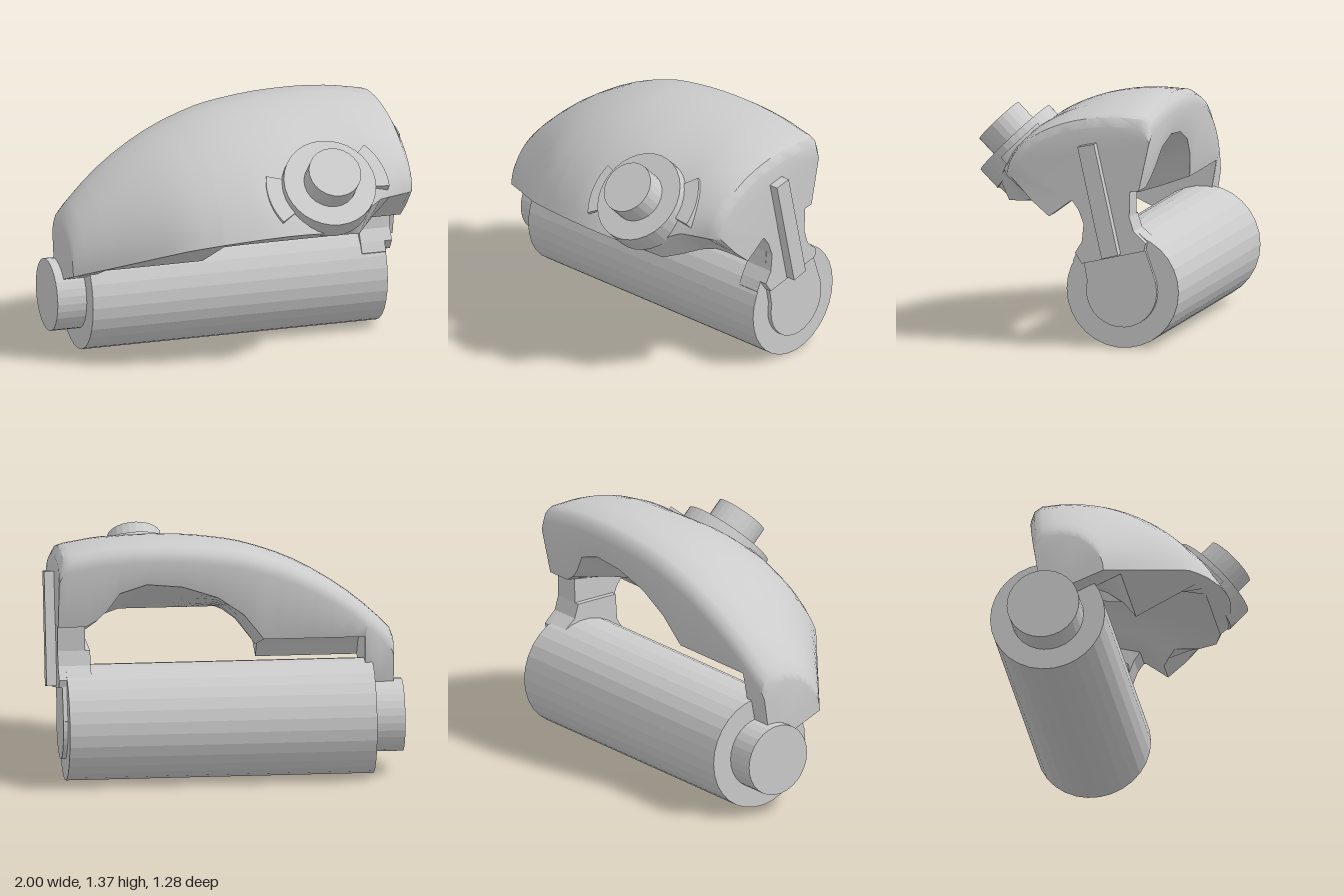
import * as THREE from 'three';
import { toCreasedNormals } from 'three/addons/utils/BufferGeometryUtils.js';

const AXIS = { y: 0.325, z: -0.315 }; // centre line of the roller
const { lerp, clamp } = THREE.MathUtils;

// piecewise linear lookup in [x, value] pairs
function table(pairs, x) {
  for (let i = 1; i < pairs.length; i++) {
    const [x0, a] = pairs[i - 1], [x1, b] = pairs[i];
    if (x <= x1) return lerp(a, b, Math.max(0, (x - x0) / (x1 - x0)));
  }
  return pairs[pairs.length - 1][1];
}

const CREST = [[-0.95, 0.77], [-0.935, 0.81], [-0.88, 0.87], [-0.79, 0.955], [-0.7, 1.03], [-0.6, 1.1], [-0.5, 1.16], [-0.4, 1.212], [-0.3, 1.255], [-0.2, 1.29], [-0.1, 1.32], [0, 1.34], [0.2, 1.365], [0.4, 1.373], [0.55, 1.37], [0.7, 1.357], [0.88, 1.325], [0.92, 1.31], [0.945, 1.26]];
const FRONT_Z = [[-0.95, 0.02], [-0.4, 0.42], [-0.3, 0.46], [-0.2, 0.495], [0, 0.545], [0.2, 0.57], [0.5, 0.52], [0.75, 0.41], [0.88, 0.365], [0.92, 0.35], [0.945, 0.32]];
const BULGE = [[-0.95, 0.9], [-0.4, 0.2], [-0.1, 0], [0.5, 0], [0.75, 0.6], [0.92, 1]]; // dome section: 0 circular arc, 1 quarter ellipse
const SEAT = [[-0.2, 1.6], [0, 1.5], [0.12, 1.44], [0.7, 1.43], [0.945, 1.42]]; // limit of y + z under the button
const ARCH = [[-0.2, 0.82], [-0.1, 0.95], [0.05, 1.06], [0.25, 1.13], [0.45, 1.15], [0.6, 1.1], [0.75, 1]];
const FAN = [[-0.42, 0.9], [-0.28, 0.88], [-0.15, 0.86], [-0.02, 0.825], [0.1, 0.735], [0.2, 0.82]];
const backZ = (y) => -0.504 + (1.28 - y) * 0.22;
const planeY = (z) => 0.52 + 0.56 * z;

// underside points [z, y], from back to front
function underside(x, kind) {
  const pts = [];
  for (let k = 0; k < 6; k++) {
    const t = k / 5;
    if (kind === 'arch') {
      const h = table(ARCH, x);
      const zl = Math.min(0.46, table(FRONT_Z, x) - 0.05);
      const sag = 0.12 * Math.max(0, 1 - (x + 0.2) / 0.18) * Math.sin(Math.PI * t);
      const f = clamp((x - 0.6) / 0.19, 0, 1);
      pts.push([lerp(lerp(backZ(h), zl, t), FAN[k][0], f), lerp(lerp(h, planeY(zl), t) - sag, FAN[k][1], f)]);
    } else {
      const pin = kind === 'pin';
      const r = pin ? 0.2 : 0.48, a = lerp(-0.17, pin ? 0.85 : 1.02, t);
      pts.push([AXIS.z + r * Math.sin(a), AXIS.y + r * Math.cos(a)]);
    }
  }
  return pts;
}

// one closed cross-section [z, y]: front edge, dome, back corner, underside
function section(x, kind) {
  const H = table(CREST, x), zf = table(FRONT_Z, x), limit = table(SEAT, x), w = table(BULGE, x);
  const yf = lerp(planeY(zf), 0.95, clamp((x - 0.5) / 0.2, 0, 1));
  const zc = Math.max(-0.3, backZ(H) + 0.15), dz = zf - zc, dy = H - yf;
  const R = (dz * dz + dy * dy) / (2 * dy), sweep = Math.atan2(dz, R - dy);
  const pts = [];
  for (let k = 0; k <= 16; k++) {
    const t = 1 - k / 16, a = t * sweep, e = t * Math.PI / 2;
    const z = zc + lerp(R * Math.sin(a), dz * Math.sin(e), w);
    const y = H - lerp(R * (1 - Math.cos(a)), dy * (1 - Math.cos(e)), w);
    const over = Math.max(0, z + y - limit) / 2;
    pts.push([z - over, y - over]);
  }
  const zb = backZ(H - 0.09);
  pts.push([zb + 0.06, H - 0.006], [zb + 0.018, H - 0.035], [zb, H - 0.09]);
  return pts.concat(underside(x, kind));
}

function housingGeometry() {
  const stations = [
    ...[-0.95, -0.935, -0.88, -0.83, -0.79].map((x) => [x, 'pin']),
    ...[-0.785, -0.7, -0.6, -0.5, -0.4, -0.3, -0.215].map((x) => [x, 'roller']),
    ...[-0.2, -0.1, -0.02, 0.05, 0.15, 0.25, 0.35, 0.45, 0.52, 0.6, 0.67, 0.73, 0.79, 0.88, 0.92, 0.945].map((x) => [x, 'arch'])
  ];
  const rings = stations.map(([x, kind]) => section(x, kind));
  const n = rings[0].length, pos = [], idx = [];
  rings.forEach((ring, i) => ring.forEach(([z, y]) => pos.push(stations[i][0], y, z)));
  for (let i = 0; i < rings.length - 1; i++) {
    for (let j = 0; j < n; j++) {
      const a = i * n + j, b = i * n + (j + 1) % n, c = b + n, d = a + n;
      idx.push(a, d, c, a, c, b);
    }
  }
  // end caps
  [0, rings.length - 1].forEach((i) => {
    const flat = rings[i].map(([z, y]) => new THREE.Vector2(-z, y));
    for (const [a, b, c] of THREE.ShapeUtils.triangulateShape(flat, [])) {
      const o = i * n;
      if (i) idx.push(o + a, o + b, o + c);
      else idx.push(o + a, o + c, o + b);
    }
  });
  const g = new THREE.BufferGeometry();
  g.setAttribute('position', new THREE.Float32BufferAttribute(pos, 3));
  g.setIndex(idx);
  return toCreasedNormals(g, 0.75);
}

export function createModel() {
  const model = new THREE.Group();
  const smooth = new THREE.MeshStandardMaterial({ color: 0xcccccc, side: THREE.DoubleSide });
  const flat = new THREE.MeshStandardMaterial({ color: 0xcccccc, flatShading: true });

  function add(parent, name, geometry, material) {
    const mesh = new THREE.Mesh(geometry, material);
    mesh.name = name;
    parent.add(mesh);
    return mesh;
  }
  // cylinder along x on the roller axis
  function drum(name, x0, x1, r) {
    const g = new THREE.CylinderGeometry(r, r, x1 - x0, 30).rotateZ(Math.PI / 2);
    add(model, name, g, flat).position.set((x0 + x1) / 2, AXIS.y, AXIS.z);
  }
  // plate from a [z, y] outline, extruded along x
  function plate(name, outline, x0, x1) {
    const shape = new THREE.Shape(outline.map(([z, y]) => new THREE.Vector2(-z, y)));
    const g = new THREE.ExtrudeGeometry(shape, { depth: x1 - x0, bevelEnabled: false });
    add(model, name, g.rotateY(Math.PI / 2).translate(x0, 0, 0), flat);
  }

  add(model, 'housing', housingGeometry(), smooth);

  // roller with its end collar and pins
  drum('roller', -0.83, 0.76, 0.325);
  drum('collar', 0.76, 0.9, 0.325);
  drum('leftPin', -1, -0.83, 0.205);
  drum('rightPin', 0.9, 0.925, 0.205);

  // neck joining housing and collar
  plate('neck', [[-0.37, 0.95], [-0.365, 0.75], [-0.39, 0.67], [-0.46, 0.605], [-0.45, 0.56],
    [-0.09, 0.475], [-0.05, 0.535], [-0.09, 0.6], [-0.1, 0.7], [-0.07, 0.78], [-0.02, 0.85], [-0.05, 0.95]], 0.79, 0.943);
  plate('collarFillet', [[-0.365, 0.75], [-0.39, 0.67], [-0.48, 0.595], [-0.4, 0.4], [-0.1, 0.4], [-0.025, 0.48], [-0.05, 0.535], [-0.09, 0.6], [-0.1, 0.75]], 0.76, 0.9);
  plate('pinStem', [[-0.45, 0.57], [-0.515, 0.38], [-0.315, 0.3], [-0.115, 0.38], [-0.095, 0.49]], 0.89, 0.925);
  // raised rib on the end face
  plate('rib', [[-0.08, 1.145], [-0.175, 1.165], [-0.315, 0.54], [-0.22, 0.515]], 0.9, 1);

  // push button tilted toward the front
  const button = new THREE.Group();
  button.name = 'button';
  button.position.set(0.425, 1.085, 0.44);
  button.rotation.x = Math.PI / 4;
  model.add(button);
  add(button, 'buttonBase', new THREE.CylinderGeometry(0.265, 0.265, 0.14, 32), flat).position.y = -0.07;
  add(button, 'buttonBoss', new THREE.CylinderGeometry(0.24, 0.2, 0.07, 32), flat).position.y = -0.17;
  add(button, 'buttonCap', new THREE.CylinderGeometry(0.15, 0.15, 0.135, 24), flat).position.y = 0.065;
  // curved tabs on both sides of the button
  [['rightTab', 163, 212], ['leftTab', -5, 42]].forEach(([name, from, to]) => {
    const a = THREE.MathUtils.degToRad(from), b = THREE.MathUtils.degToRad(to);
    const shape = new THREE.Shape();
    shape.absarc(0, 0, 0.355, a, b, false);
    shape.absarc(0, 0, 0.24, b, a, true);
    const g = new THREE.ExtrudeGeometry(shape, { depth: 0.08, bevelEnabled: false, curveSegments: 8 });
    add(button, name, g.rotateX(-Math.PI / 2), flat).position.y = -0.13;
  });
  return model;
}
